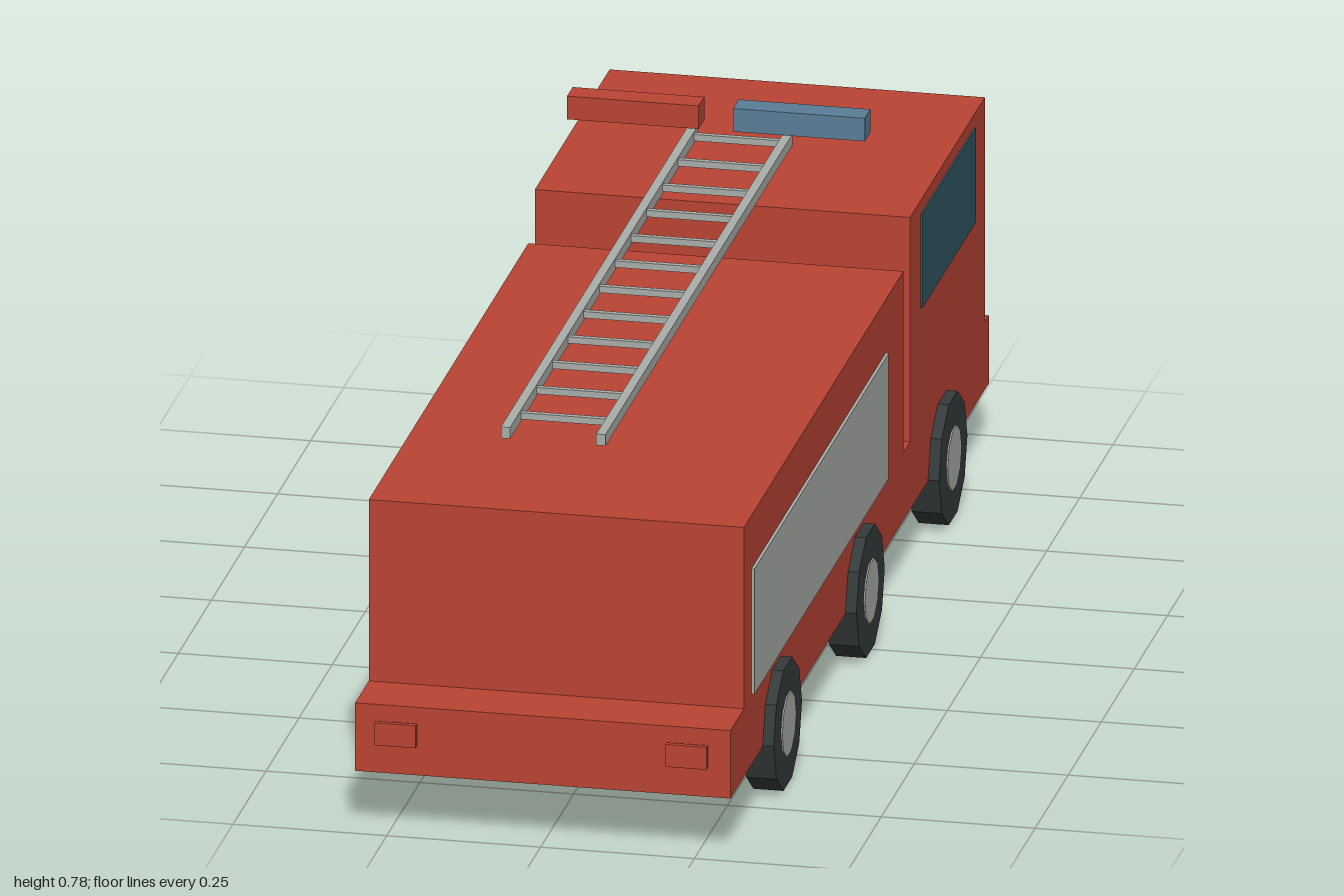
import * as THREE from 'three';

function paint(name, color) {
  const m = new THREE.MeshStandardMaterial({ color });
  m.name = name;
  return m;
}

export function createModel() {
  const truck = new THREE.Group();
  truck.name = 'fireTruck';

  const red = paint('red', 0xba4434);
  const silver = paint('silver', 0xaaaeaa);
  const glass = paint('glass', 0x325862);
  const blue = paint('blue', 0x5a7d97);
  const rubber = paint('rubber', 0x343b3a);

  // Box given by its limits along each axis
  function box(name, material, [x0, x1], [y0, y1], [z0, z1], parent = truck) {
    const mesh = new THREE.Mesh(new THREE.BoxGeometry(x1 - x0, y1 - y0, z1 - z0), material);
    mesh.position.set((x0 + x1) / 2, (y0 + y1) / 2, (z0 + z1) / 2);
    mesh.name = name;
    parent.add(mesh);
    return mesh;
  }

  // Cylinder lying along x, with a corner pointing along z
  function disc(name, material, radius, width, sides, x, y, z) {
    const geometry = new THREE.CylinderGeometry(radius, radius, width, sides).rotateZ(Math.PI / 2);
    const mesh = new THREE.Mesh(geometry.toNonIndexed(), material);
    mesh.geometry.computeVertexNormals();
    mesh.position.set(x, y, z);
    mesh.name = name;
    truck.add(mesh);
  }

  // Main volumes; the cab is at the -z end
  box('chassis', red, [-0.305, 0.305], [0.1, 0.215], [-0.97, 0.983]);
  box('equipmentBody', red, [-0.305, 0.305], [0.215, 0.522], [-0.325, 0.88]);
  box('cab', red, [-0.305, 0.305], [0.215, 0.595], [-0.94, -0.375]);

  // Windscreen and grille
  box('windscreen', glass, [-0.26, 0.26], [0.413, 0.572], [-0.948, -0.939]);
  box('grille', glass, [-0.132, 0.132], [0.143, 0.188], [-0.979, -0.97]);
  box('bumper', silver, [-0.28, 0.28], [0.102, 0.122], [-1, -0.972]);

  // Parts repeated on both sides
  for (const s of [-1, 1]) {
    const side = (a, b) => (s > 0 ? [a, b] : [-b, -a]);
    box('sideWindow', glass, side(0.302, 0.308), [0.413, 0.572], [-0.86, -0.455]);
    box('shutterPanel', silver, side(0.302, 0.31), [0.22, 0.432], [-0.19, 0.825]);
    box('headlight', silver, side(0.163, 0.278), [0.16, 0.198], [-0.986, -0.969]);
    box('tailLight', red, side(0.203, 0.27), [0.152, 0.19], [0.991, 1]);

    for (const z of [0.633, 0.008, -0.617]) {
      disc('tyre', rubber, 0.107, 0.049, 10, s * 0.2985, 0.102, z);
      disc('hub', silver, 0.053, 0.02, 10, s * 0.3155, 0.102, z);
    }
  }

  // Roof ladder
  const ladder = new THREE.Group();
  ladder.name = 'ladder';
  truck.add(ladder);
  for (const x of [-0.0775, 0.0775]) {
    box('ladderRail', silver, [x - 0.0075, x + 0.0075], [0.652, 0.671], [-0.51, 0.905], ladder);
  }
  for (let i = 0; i < 12; i++) {
    const z = -0.49 + i * 0.119;
    box('ladderRung', silver, [-0.075, 0.075], [0.656, 0.667], [z - 0.005, z + 0.005], ladder);
  }

  // Warning lights above the cab
  box('redBeacon', red, [-0.242, -0.028], [0.737, 0.776], [-0.368, -0.325]);
  box('blueBeacon', blue, [0.028, 0.242], [0.737, 0.776], [-0.368, -0.325]);

  return truck;
}
